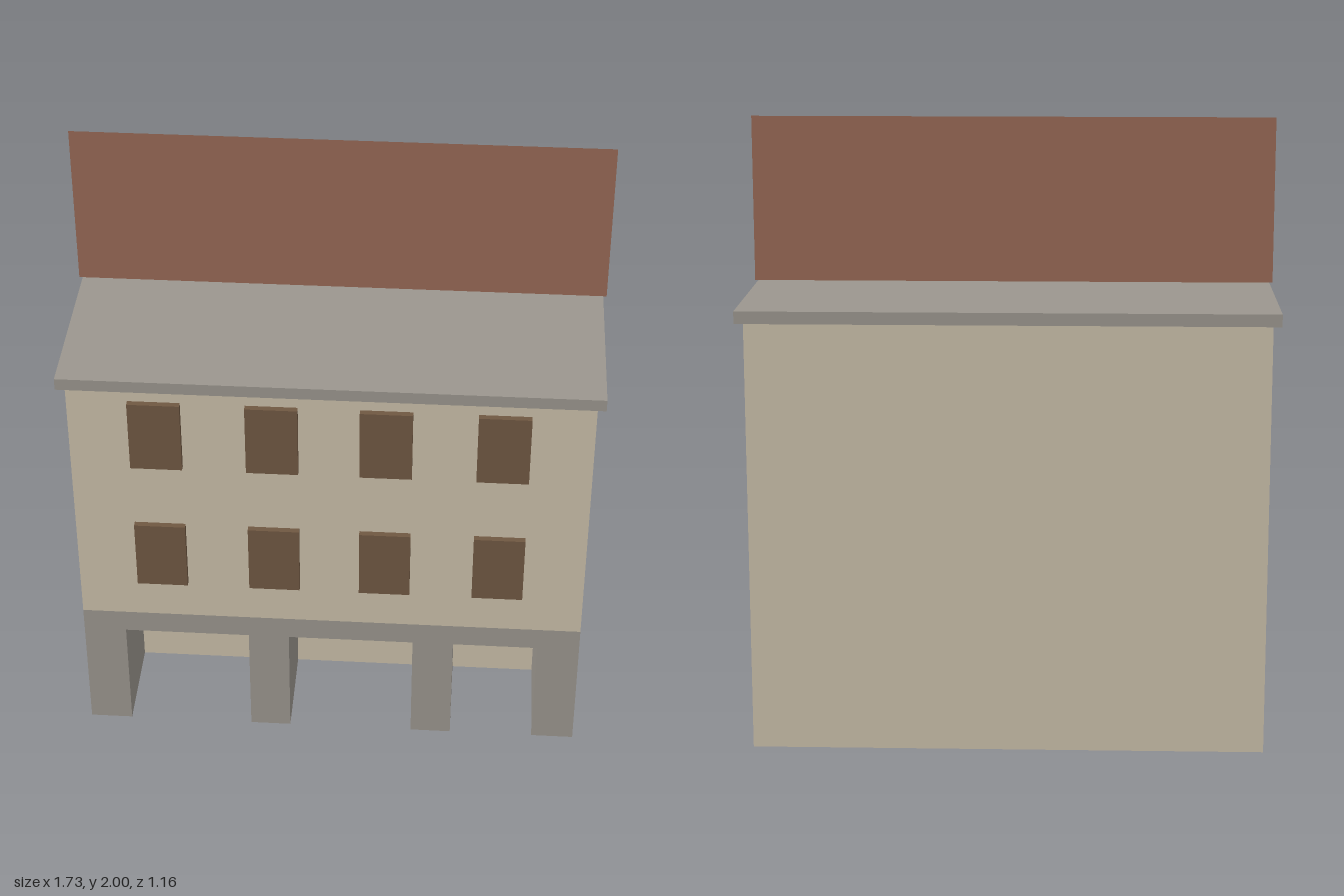
import * as THREE from 'three';

const material = (name, color, side = THREE.FrontSide) => {
  const m = new THREE.MeshStandardMaterial({ color, side });
  m.name = name;
  return m;
};

export function createModel() {
  const model = new THREE.Group();
  model.name = 'arcadeHouse';

  const plaster = material('creamPlaster', 0xc9bea9);
  const stone = material('greyStone', 0x9b968e);
  const wood = material('brownWood', 0x705842);
  const tile = material('redTile', 0x976855, THREE.DoubleSide);

  const add = (name, geometry, mat) => {
    const mesh = new THREE.Mesh(geometry, mat);
    mesh.name = name;
    model.add(mesh);
    return mesh;
  };

  // Box given by its two extreme corners
  const box = (name, mat, [x0, y0, z0], [x1, y1, z1]) =>
    add(name, new THREE.BoxGeometry(x1 - x0, y1 - y0, z1 - z0), mat)
      .position.set((x0 + x1) / 2, (y0 + y1) / 2, (z0 + z1) / 2);

  const W = 0.83, D = 0.55, arcadeBack = 0.22, arcadeTop = 0.48, eaves = 1.41;

  // Walls: upper storeys over the full depth, ground floor set back; one side profile
  const side = new THREE.Shape([
    [-D, 0], [arcadeBack, 0], [arcadeBack, arcadeTop], [D, arcadeTop], [D, eaves], [-D, eaves],
  ].map(([z, y]) => new THREE.Vector2(-z, y)).reverse());
  const walls = new THREE.ExtrudeGeometry(side, { depth: 2 * W, bevelEnabled: false });
  walls.rotateY(Math.PI / 2).translate(-W, 0, 0);
  add('walls', walls, plaster);

  // Stone arcade with three square openings down to the ground
  const openings = [[-0.69, -0.275], [-0.14, 0.275], [0.41, 0.69]];
  const front = new THREE.Shape();
  front.moveTo(-W, 0);
  for (const [a, b] of openings) {
    front.lineTo(a, 0);
    front.lineTo(a, 0.4);
    front.lineTo(b, 0.4);
    front.lineTo(b, 0);
  }
  front.lineTo(W, 0);
  front.lineTo(W, arcadeTop);
  front.lineTo(-W, arcadeTop);
  const arcade = new THREE.ExtrudeGeometry(front, { depth: D - arcadeBack, bevelEnabled: false });
  arcade.translate(0, 0, arcadeBack);
  add('arcade', arcade, stone);

  // Shutters: two rows of four, standing slightly proud of the wall
  for (const [y0, y1] of [[0.625, 0.87], [1.105, 1.355]])
    for (const x of [-0.553, -0.183, 0.178, 0.548])
      box('shutter', wood, [x - 0.083, y0, D], [x + 0.083, y1, D + 0.02]);

  // Eaves slab
  box('eavesSlab', stone, [-0.855, eaves, -0.58], [0.855, 1.45, 0.58]);

  // Thin upright roof panel along the middle
  add('roofPanel', new THREE.PlaneGeometry(1.732, 0.55), tile).position.set(0, 1.725, 0);

  return model;
}
